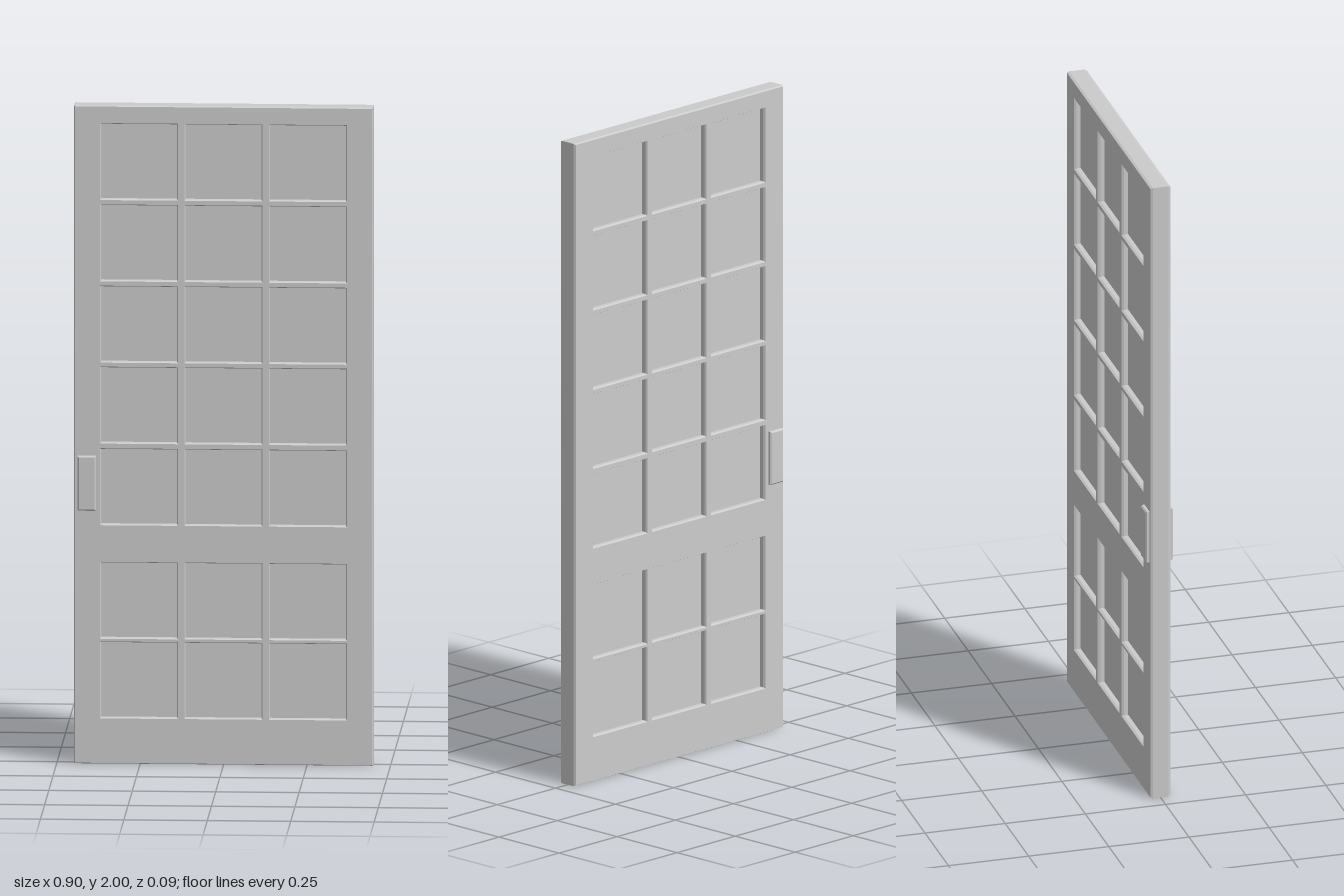
import * as THREE from 'three';

const material = new THREE.MeshStandardMaterial({ color: 0xcccccc, flatShading: true });

// Rectangle outline from its limits
function rect(Type, x0, x1, y0, y1) {
  const r = new Type();
  r.moveTo(x0, y0);
  r.lineTo(x1, y0);
  r.lineTo(x1, y1);
  r.lineTo(x0, y1);
  r.closePath();
  return r;
}

// Bevelled slab, centred on z = 0; the bevel stays inside the outline
function slab(name, shape, thickness, bevelSize, bevelThickness) {
  const geometry = new THREE.ExtrudeGeometry(shape, {
    depth: thickness - 2 * bevelThickness,
    bevelEnabled: true, bevelSegments: 1,
    bevelSize, bevelThickness, bevelOffset: -bevelSize,
  });
  geometry.translate(0, 0, -thickness / 2 + bevelThickness);
  const mesh = new THREE.Mesh(geometry, material);
  mesh.name = name;
  return mesh;
}

export function createModel() {
  const door = new THREE.Group();
  door.name = 'door';

  const columns = [-0.253, 0, 0.253];
  const rows = [1.83, 1.583, 1.336, 1.09, 0.842, 0.497, 0.255];
  const half = 0.114;

  // Frame with glazing bars, pierced by the pane openings
  const outline = rect(THREE.Shape, -0.448, 0.448, 0, 2);
  for (const x of columns) {
    for (const y of rows) {
      outline.holes.push(rect(THREE.Path, x - half, x + half, y - half, y + half));
    }
  }
  door.add(slab('frame', outline, 0.062, 0.003, 0.007));

  // Recessed panes
  for (const x of columns) {
    for (const y of rows) {
      const pane = new THREE.Mesh(new THREE.BoxGeometry(2 * half, 2 * half, 0.022), material);
      pane.position.set(x, y, 0);
      pane.name = 'pane';
      door.add(pane);
    }
  }

  // Pull plates on both faces
  const plate = rect(THREE.Shape, -0.437, -0.382, 0.77, 0.936);
  for (const side of [1, -1]) {
    const pull = slab(side > 0 ? 'frontPull' : 'backPull', plate, 0.016, 0.004, 0.004);
    pull.position.z = side * 0.035;
    door.add(pull);
  }

  return door;
}
